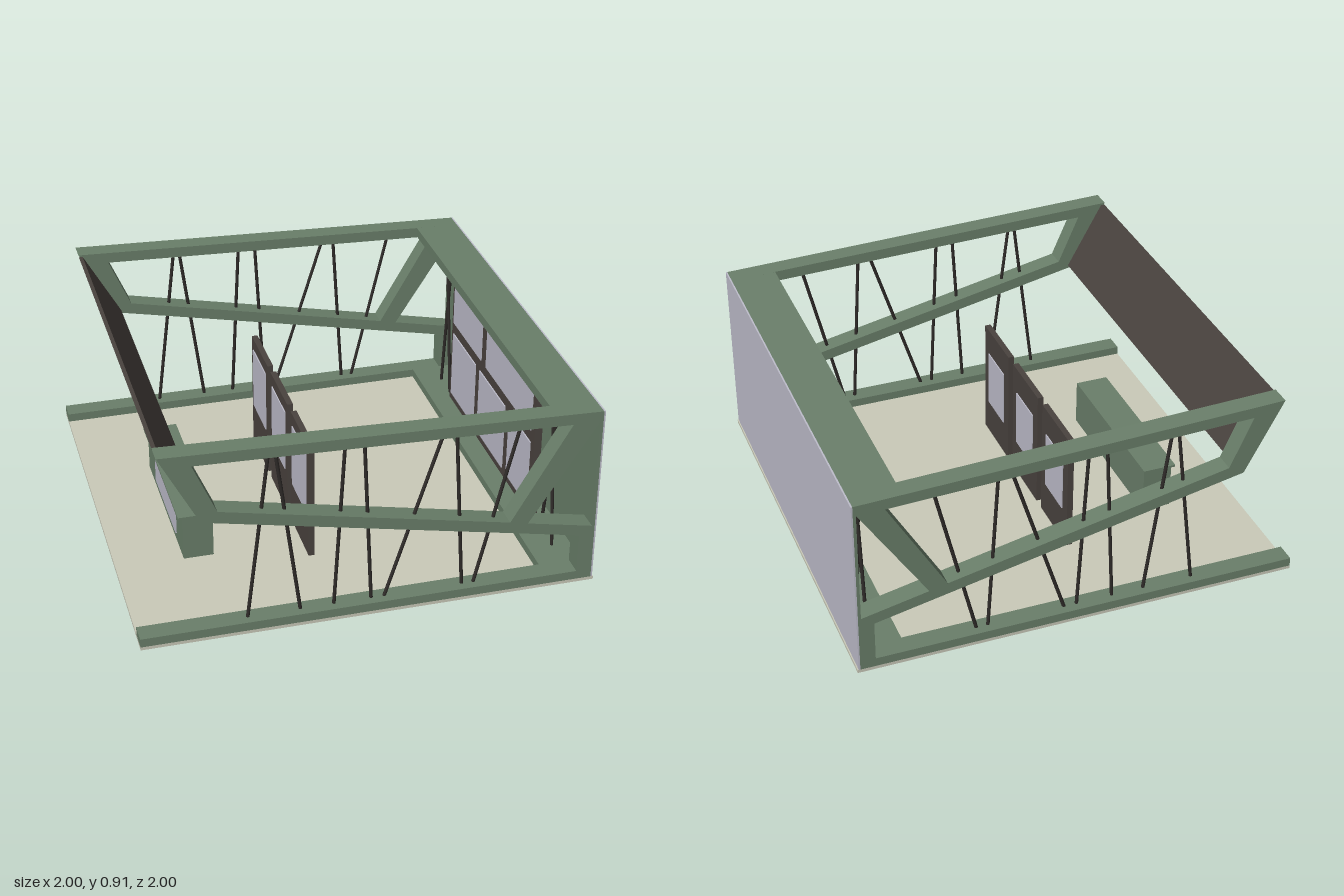
import * as THREE from 'three';

const mat = (name, color) => {
  const m = new THREE.MeshStandardMaterial({ color });
  m.name = name;
  return m;
};

export function createModel() {
  const green = mat('sage green', 0x6a7f6a);
  const dark = mat('dark brown', 0x4a433f);
  const black = mat('rod black', 0x2e2a28);
  const lavender = mat('pale lavender', 0xbebdcb);
  const cream = mat('cream floor', 0xcacab9);

  const root = new THREE.Group();
  root.name = 'exhibitionBooth';

  const add = (name, geo, material) => {
    const mesh = new THREE.Mesh(geo, material);
    mesh.name = name;
    root.add(mesh);
    return mesh;
  };
  // Box given by its limits on each axis
  const box = (name, m, x0, x1, y0, y1, z0, z1) =>
    add(name, new THREE.BoxGeometry(x1 - x0, y1 - y0, z1 - z0), m)
      .position.set((x0 + x1) / 2, (y0 + y1) / 2, (z0 + z1) / 2);
  const pts = (list) => list.map(([x, y]) => new THREE.Vector2(x, y));
  // Side outline in x and y, swept from z0 to z1
  const prism = (name, m, outline, z0, z1, holes = []) => {
    const shape = new THREE.Shape(pts(outline));
    holes.forEach((h) => shape.holes.push(new THREE.Path(pts(h))));
    const geo = new THREE.ExtrudeGeometry(shape, { depth: z1 - z0, bevelEnabled: false });
    add(name, geo, m).position.z = z0;
  };
  const rod = (name, a, b, r) => {
    const p = new THREE.Vector3(...a), q = new THREE.Vector3(...b);
    const d = q.clone().sub(p);
    const mesh = add(name, new THREE.CylinderGeometry(r, r, d.length(), 8), black);
    mesh.position.copy(p).add(q).multiplyScalar(0.5);
    mesh.quaternion.setFromUnitVectors(new THREE.Vector3(0, 1, 0), d.normalize());
  };

  // Floor
  box('floor', cream, -1, 1, 0.005, 0.02, -1, 1);

  // Two side frames: base beam, corner post, sloping beams and strut
  const outline = [[-1, 0.02], [0.988, 0.02], [0.988, 0.85], [-0.9, 0.915],
    [-0.73, 0.59], [0.92, 0.245], [0.92, 0.06], [-1, 0.06]];
  const mainHole = [[-0.76, 0.86], [-0.66, 0.63], [0.6, 0.365], [0.855, 0.805]];
  const cornerHole = [[0.975, 0.805], [0.68, 0.347], [0.975, 0.285]];
  for (const z0 of [-1, 0.91]) prism('sideFrame', green, outline, z0, z0 + 0.09, [mainHole, cornerHole]);

  // Slanted rods inside each side frame: bottom x, top x, top y
  const rods = [[-0.535, -0.435, 0.86], [-0.305, -0.41, 0.86], [-0.16, -0.115, 0.85],
    [0.005, -0.035, 0.85], [0.06, 0.31, 0.84], [0.41, 0.36, 0.84], [0.46, 0.645, 0.83]];
  for (const z of [-0.955, 0.955])
    for (const [x0, x1, y] of rods) rod('sideRod', [x0, 0.05, z], [x1, y, z], 0.008);

  // Closed wall with outer cladding, roof strip and plinth
  box('wall', green, 0.975, 0.988, 0.02, 0.85, -0.91, 0.91);
  box('wallCladding', lavender, 0.988, 0.995, 0.015, 0.85, -1, 1);
  prism('roofStrip', green, [[0.78, 0.812], [0.975, 0.806], [0.988, 0.85], [0.78, 0.857]], -0.91, 0.91);
  box('wallPlinth', green, 0.78, 0.975, 0.02, 0.06, -0.91, 0.91);

  // Display wall with panes in two rows
  box('displayWall', dark, 0.875, 0.91, 0.06, 0.8, -0.6, 0.54);
  const panes = [[-0.57, -0.17, 0.49, 0.76], [-0.1, 0.5, 0.49, 0.76],
    [-0.57, -0.24, 0.1, 0.43], [-0.18, 0.17, 0.1, 0.43], [0.23, 0.5, 0.1, 0.43]];
  for (const [z0, z1, y0, y1] of panes) box('displayPane', lavender, 0.869, 0.875, y0, y1, z0, z1);
  for (const s of [-1, 1]) {
    rod('wallRod', [0.89, 0.05, s * 0.64], [0.89, 0.82, s * 0.76], 0.008);
    rod('wallRod', [0.89, 0.05, s * 0.78], [0.89, 0.82, s * 0.68], 0.008);
  }

  // Leaning banner with panes on its outer face
  const bx = (y) => -0.9 + (0.908 - y) * 0.557;
  const slab = (y0, y1, from, to) =>
    [[bx(y0) + from, y0], [bx(y0) + to, y0], [bx(y1) + to, y1], [bx(y1) + from, y1]];
  prism('banner', dark, slab(0.6, 0.905, 0, 0.018), -0.91, 0.91);
  for (const [z0, z1] of [[-0.88, -0.56], [-0.5, 0.37], [0.43, 0.86]])
    prism('bannerPane', lavender, slab(0.64, 0.865, -0.006, 0), z0, z1);

  // Counter
  box('counterBody', green, -0.695, -0.56, 0.02, 0.225, -0.39, 0.41);
  box('counterTop', green, -0.715, -0.56, 0.225, 0.235, -0.39, 0.41);
  box('counterPane', lavender, -0.701, -0.695, 0.06, 0.19, -0.2, 0.26);

  // Three free-standing panels with a pane on each face
  for (const z of [-0.36, 0.005, 0.375]) {
    box('standingPanel', dark, -0.157, -0.13, 0.02, 0.585, z - 0.155, z + 0.155);
    box('standingPane', lavender, -0.13, -0.125, 0.19, 0.46, z - 0.1, z + 0.1);
    box('standingPane', lavender, -0.162, -0.157, 0.23, 0.53, z - 0.12, z + 0.12);
  }

  return root;
}
